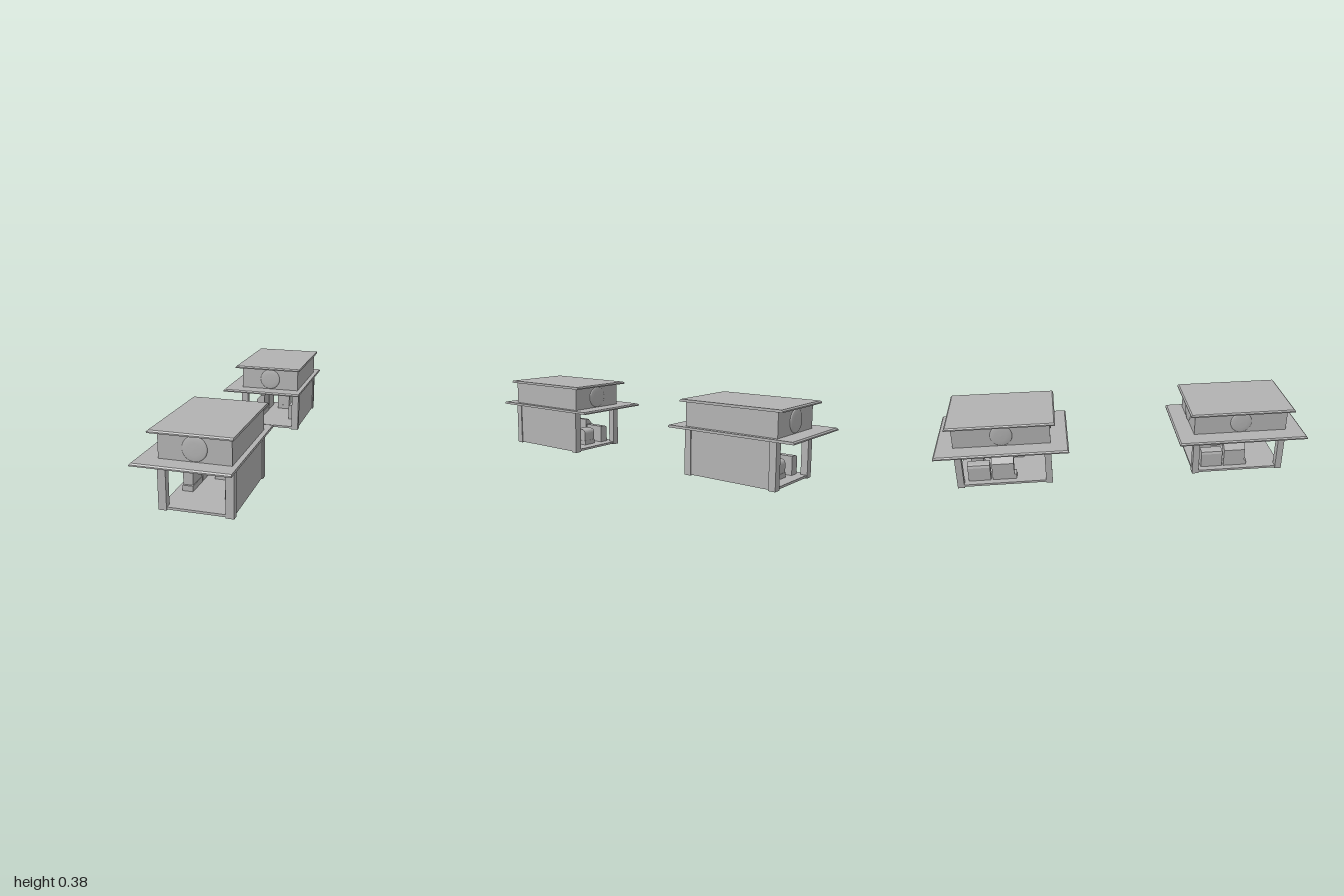
import * as THREE from 'three';

const grey = new THREE.MeshStandardMaterial({ color: 0xb2b2b2 });
grey.name = 'plain grey';

function mesh(name, geometry, parent) {
  const m = new THREE.Mesh(geometry, grey);
  m.name = name;
  parent.add(m);
  return m;
}

// Box given by its limits on each axis
function box(name, [x0, x1], [y0, y1], [z0, z1], parent) {
  const g = new THREE.BoxGeometry(x1 - x0, y1 - y0, z1 - z0);
  g.translate((x0 + x1) / 2, (y0 + y1) / 2, (z0 + z1) / 2);
  return mesh(name, g, parent);
}

// Extrude an x,y profile along z
function alongZ(name, points, z0, z1, parent) {
  const shape = new THREE.Shape(points.map(p => new THREE.Vector2(...p)));
  const g = new THREE.ExtrudeGeometry(shape, { depth: z1 - z0, bevelEnabled: false });
  g.translate(0, 0, z0);
  return mesh(name, g, parent);
}

// Thin roof slab whose upper edge is bevelled on the open sides
function roof(name, [x0, x1], [y0, y1], halfZ, parent) {
  const h = y1 - y0, bevel = 0.007;
  let g = new THREE.BoxGeometry(x1 - x0, h, halfZ * 2, 1, 2, 1);
  const p = g.attributes.position;
  for (let i = 0; i < p.count; i++) {
    if (p.getY(i) < h * 0.4) continue;
    if (p.getX(i) < 0) p.setX(i, p.getX(i) + bevel);
    p.setZ(i, p.getZ(i) - Math.sign(p.getZ(i)) * bevel);
  }
  g.translate((x0 + x1) / 2, (y0 + y1) / 2, 0);
  g = g.toNonIndexed();
  g.computeVertexNormals();
  return mesh(name, g, parent);
}

// Shallow domed disc, facing +z before turning
function disc(name, x, y, z, turn, parent) {
  const profile = [[0.059, 0], [0.058, 0.004], [0.053, 0.007], [0.03, 0.0085], [0, 0.009]];
  const g = new THREE.LatheGeometry(profile.map(p => new THREE.Vector2(...p)), 48);
  g.rotateX(Math.PI / 2);
  const m = mesh(name, g, parent);
  m.position.set(x, y, z);
  m.rotation.y = turn;
}

function createKiosk() {
  const k = new THREE.Group();
  k.name = 'kiosk';
  const end = 0.2575;

  // Floor, corner posts and the closed side wall
  box('floor', [-0.14, 0.208], [0.004, 0.016], [-end + 0.004, end - 0.004], k);
  for (const s of [-1, 1]) {
    const z = s < 0 ? [-end, -end + 0.036] : [end - 0.036, end];
    box('openSidePost', [-0.144, -0.105], [0, 0.236], z, k);
    box('wallSidePost', [0.174, 0.214], [0, 0.236], z, k);
  }
  box('sideWall', [0.174, 0.209], [0.01, 0.236], [-end + 0.036, end - 0.036], k);

  // Two roofs with the sign box between them
  roof('lowerRoof', [-0.234, 0.232], [0.235, 0.248], 0.352, k);
  box('signBox', [-0.136, 0.207], [0.247, 0.372], [-end, end], k);
  roof('upperRoof', [-0.175, 0.221], [0.371, 0.384], 0.287, k);
  disc('frontDisc', 0.037, 0.309, end - 0.001, 0, k);
  disc('backDisc', 0.037, 0.309, -end + 0.001, Math.PI, k);
  disc('sideDisc', -0.135, 0.309, 0, -Math.PI / 2, k);

  // Counter and display case along the open side
  alongZ('serviceCounter', [[-0.105, 0.016], [-0.053, 0.016], [-0.053, 0.113],
    [-0.087, 0.113], [-0.1, 0.108], [-0.105, 0.095]], -0.2, -0.08, k);
  alongZ('displayCase', [[-0.105, 0.044], [-0.055, 0.044], [-0.055, 0.142],
    [-0.078, 0.142], [-0.105, 0.113]], -0.07, 0.05, k);
  box('displayCaseBase', [-0.105, -0.052], [0.016, 0.044], [-0.07, 0.062], k);

  // Cabinet with a rounded top edge at the open back
  const s = new THREE.Shape();
  s.moveTo(-0.19, 0.04);
  s.lineTo(-0.12, 0.04);
  s.lineTo(-0.12, 0.107);
  s.lineTo(-0.165, 0.107);
  s.quadraticCurveTo(-0.19, 0.107, -0.19, 0.08);
  const top = new THREE.ExtrudeGeometry(s, { depth: 0.077, bevelEnabled: false, curveSegments: 8 });
  top.rotateY(-Math.PI / 2);
  top.translate(0.073, 0, 0);
  mesh('roundedCabinet', top, k);
  box('cabinetBase', [-0.005, 0.074], [0.016, 0.041], [-0.192, -0.118], k);

  // Low box and stepped shelf against the wall
  box('wallBox', [0.154, 0.175], [0.016, 0.104], [-0.2, -0.13], k);
  alongZ('steppedShelf', [[0.12, 0.016], [0.175, 0.016], [0.175, 0.155], [0.17, 0.155],
    [0.17, 0.131], [0.145, 0.131], [0.145, 0.107], [0.12, 0.107]], -0.1, 0.1, k);
  return k;
}

export function createModel() {
  const model = new THREE.Group();
  model.name = 'kioskPair';
  for (const side of [1, -1]) {
    const k = createKiosk();
    k.name = side > 0 ? 'frontKiosk' : 'backKiosk';
    k.position.z = side * 0.648;
    model.add(k);
  }
  return model;
}
